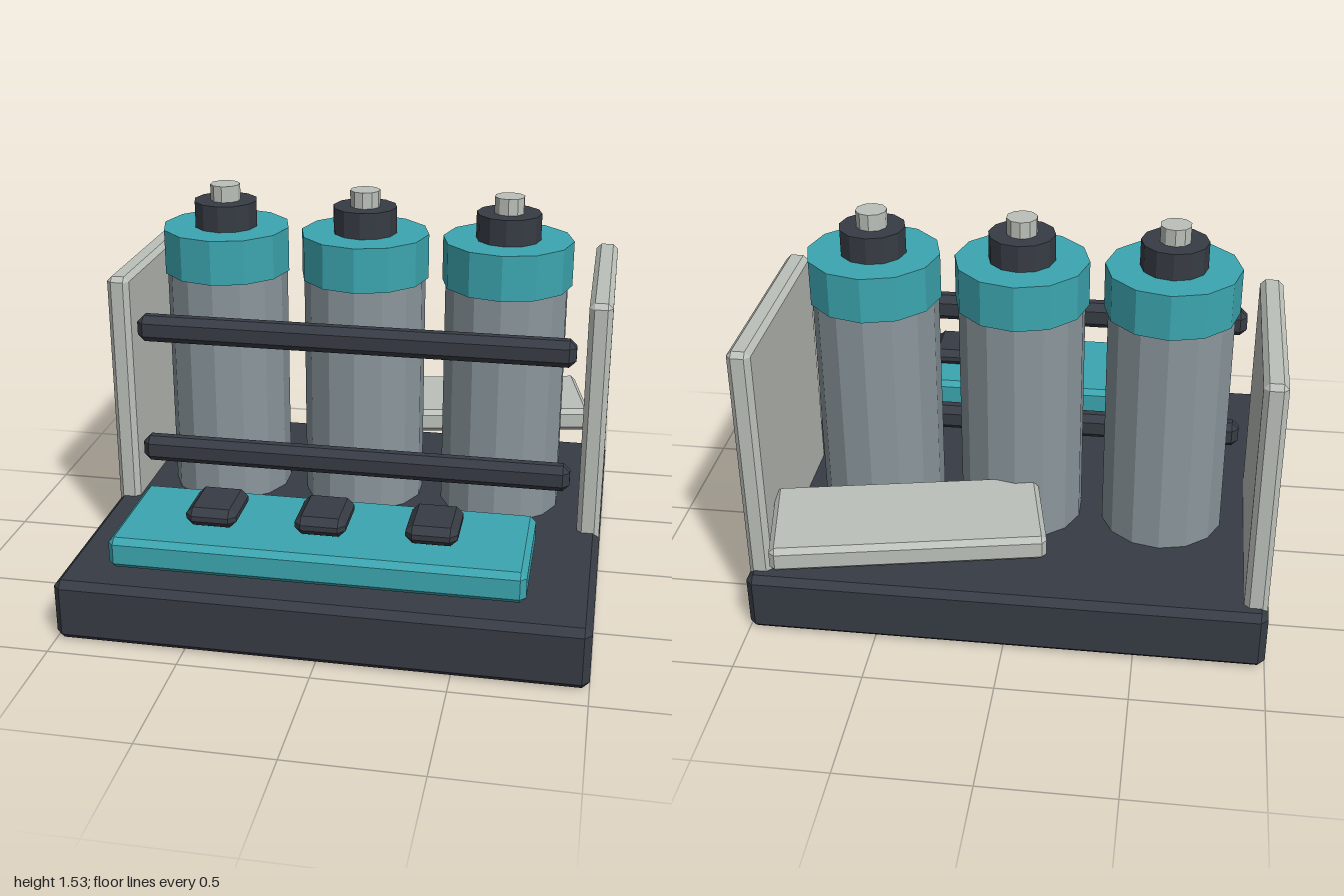
import * as THREE from 'three';
import { ConvexGeometry } from 'three/addons/geometries/ConvexGeometry.js';

const mat = (name, color) => {
  const m = new THREE.MeshStandardMaterial({ color, flatShading: true });
  m.name = name;
  return m;
};

// Box with every edge cut by a flat chamfer c, spanning the given ranges
function chamferBox(w, h, d, c) {
  const pts = [];
  for (const x of [-1, 1]) for (const y of [-1, 1]) for (const z of [-1, 1]) {
    const X = x * w / 2, Y = y * h / 2, Z = z * d / 2;
    pts.push(
      new THREE.Vector3(X, Y - y * c, Z - z * c),
      new THREE.Vector3(X - x * c, Y, Z - z * c),
      new THREE.Vector3(X - x * c, Y - y * c, Z));
  }
  return new ConvexGeometry(pts);
}

export function createModel() {
  const model = new THREE.Group();
  model.name = 'cylinderRack';
  const dark = mat('charcoal', 0x373c44);
  const teal = mat('teal', 0x3ca6b0);
  const light = mat('paleGrey', 0xbcc1ba);
  const steel = mat('steelGrey', 0x8a969c);

  const box = (name, material, [w, h, d], [x, y, z], c) => {
    const mesh = new THREE.Mesh(chamferBox(w, h, d, c), material);
    mesh.name = name;
    mesh.position.set(x, y, z);
    model.add(mesh);
    return mesh;
  };

  // Base slab and side panels
  box('base', dark, [2, 0.245, 1.69], [0, 0.1225, 0.07], 0.027);
  for (const s of [-1, 1]) {
    box(s > 0 ? 'leftPanel' : 'rightPanel', light, [0.09, 1.045, 0.87], [s * 0.952, 0.677, -0.285], 0.02);
  }

  // Three cylinders, each a stack of body, cap, collar and valve
  const stack = [
    ['body', 0.245, 0.2, 1.18, 14, steel],
    ['cap', 0.258, 1.18, 1.36, 12, teal],
    ['collar', 0.128, 1.36, 1.465, 12, dark],
    ['valve', 0.06, 1.465, 1.53, 10, light],
  ];
  for (const x of [-0.572, 0, 0.572]) {
    const tank = new THREE.Group();
    tank.name = 'tank';
    tank.position.set(x, 0, -0.137);
    for (const [name, r, y0, y1, sides, material] of stack) {
      const part = new THREE.Mesh(new THREE.CylinderGeometry(r, r, y1 - y0, sides), material);
      part.name = name;
      part.position.y = (y0 + y1) / 2;
      tank.add(part);
    }
    model.add(tank);
  }

  // Retaining rails across the front of the cylinders
  for (const y of [0.48, 1.0]) {
    box('rail', dark, [1.74, 0.108, 0.085], [0, y, 0.147], 0.027);
  }

  // Control tray with three buttons above it
  box('controlTray', teal, [1.525, 0.12, 0.488], [0, 0.4, 0.695], 0.022);
  for (const x of [-0.408, 0, 0.408]) {
    box('button', dark, [0.19, 0.072, 0.23], [x, 0.506, 0.698], 0.026);
  }

  // Skewed shelf at the back
  const shelf = box('rearShelf', light, [1.025, 0.1, 0.435], [0.378, 0.455, -0.624], 0.02);
  shelf.rotation.y = 0.2;

  return model;
}
